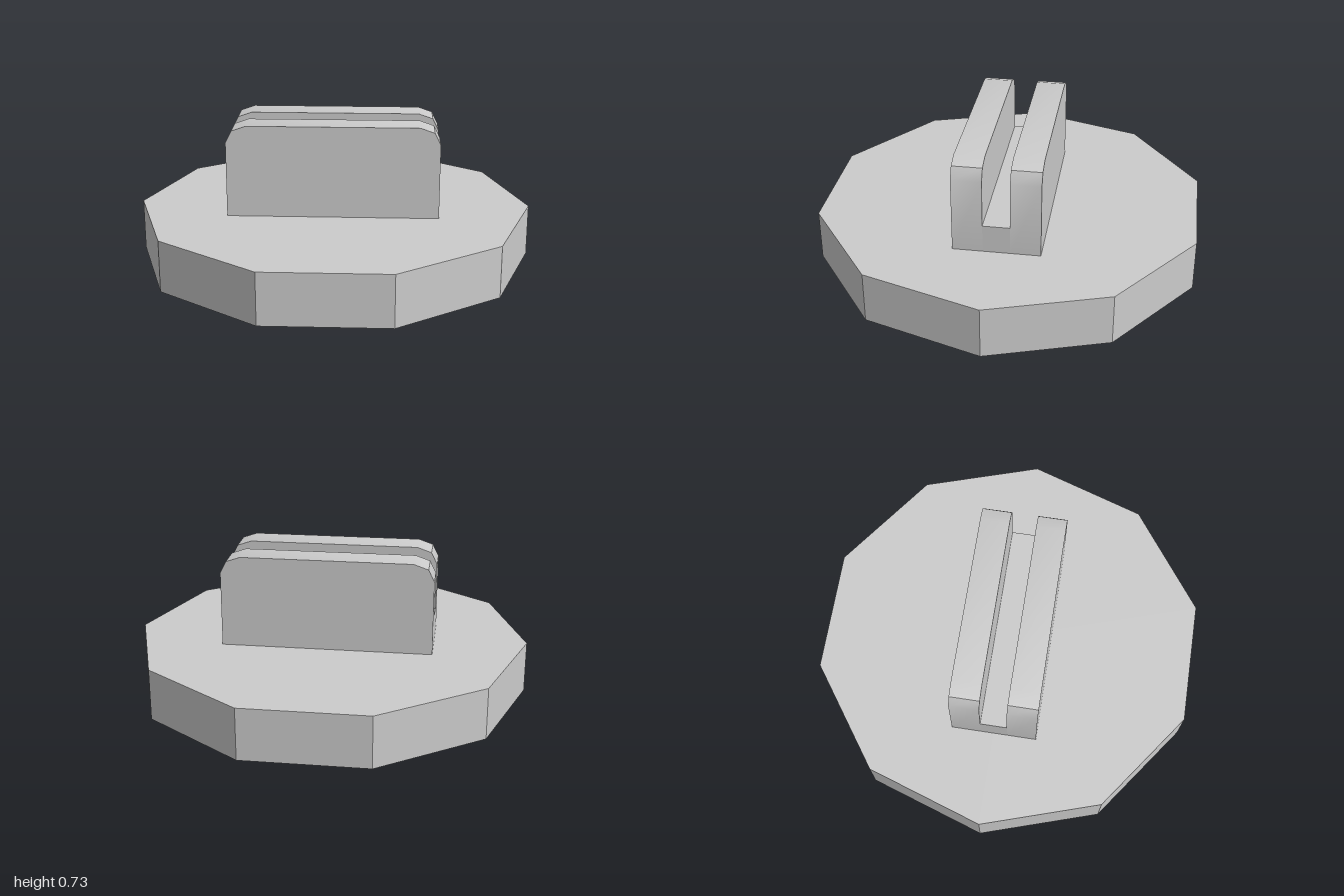
import * as THREE from 'three';
import { toCreasedNormals } from 'three/addons/utils/BufferGeometryUtils.js';

const BASE_H = 0.26, TOP = 0.725, HALF_W = 0.53;
const SLOT_FLOOR = 0.402, SLOT_Z = 0.067, OUTER_Z = 0.216;

export function createModel() {
  const group = new THREE.Group();
  const flat = new THREE.MeshStandardMaterial({ color: 0xcccccc, flatShading: true });
  const smooth = new THREE.MeshStandardMaterial({ color: 0xcccccc });

  const add = (name, geometry, material, y, z = 0) => {
    const mesh = new THREE.Mesh(geometry, material);
    mesh.name = name;
    mesh.position.set(0, y, z);
    group.add(mesh);
  };

  // ten-sided base disc with corners on the x axis
  add('base', new THREE.CylinderGeometry(1, 1, BASE_H, 10, 1, false, Math.PI / 2), flat, BASE_H / 2);

  // upright plate outline with softened upper corners
  const corner = [[HALF_W, BASE_H], [HALF_W, 0.64], [0.5, 0.7], [0.428, TOP]];
  const mirrored = corner.map(([x, y]) => [-x, y]).reverse();
  const outline = new THREE.Shape([...corner, ...mirrored].map(([x, y]) => new THREE.Vector2(x, y)));
  const plate = toCreasedNormals(
    new THREE.ExtrudeGeometry(outline, { depth: OUTER_Z - SLOT_Z, bevelEnabled: false }), 0.6);

  // two plates either side of the slot
  add('frontPlate', plate, smooth, 0, SLOT_Z);
  add('backPlate', plate, smooth, 0, -OUTER_Z);

  // raised floor joining the plates
  const floorH = SLOT_FLOOR - BASE_H;
  add('slotFloor', new THREE.BoxGeometry(HALF_W * 2, floorH, SLOT_Z * 2), flat, BASE_H + floorH / 2);

  return group;
}
